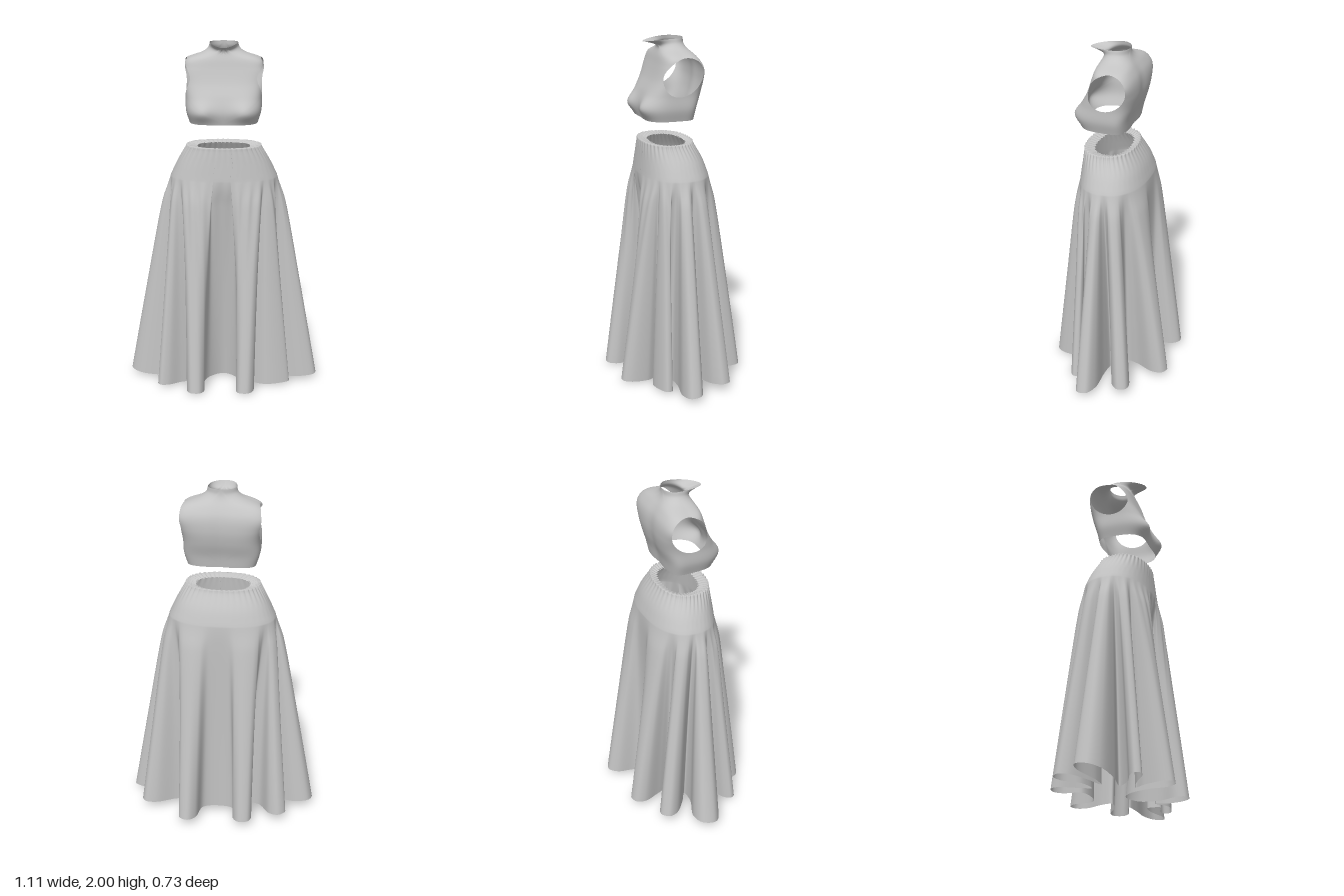
import * as THREE from 'three';
import { mergeGeometries, mergeVertices } from 'three/addons/utils/BufferGeometryUtils.js';

// Smooth interpolation through rows of [key, ...values]
function profile(rows) {
  const keys = new Float32Array(rows.map((r) => r[0]));
  const values = new Float32Array(rows.flatMap((r) => r.slice(1)));
  const interp = new THREE.CubicInterpolant(keys, values, rows[0].length - 1);
  return (k) => Array.from(interp.evaluate(k));
}

// Grid of points whose columns wrap round; rows[j][i] is a Vector3
function wrappedGrid(rows, flip = false) {
  const n = rows[0].length;
  const index = [];
  for (let j = 0; j < rows.length - 1; j++) {
    for (let i = 0; i < n; i++) {
      const i2 = (i + 1) % n;
      const a = j * n + i, b = (j + 1) * n + i, c = j * n + i2, d = (j + 1) * n + i2;
      if (flip) index.push(a, c, b, c, d, b);
      else index.push(a, b, c, c, b, d);
    }
  }
  const geo = new THREE.BufferGeometry().setFromPoints(rows.flat());
  geo.setIndex(index);
  return geo;
}

// ---- Sleeveless bodice ----
// height: half width, front z, back z, squareness
const torso = profile([
  [1.555, 0.195, 0.182, -0.093, 3.8],
  [1.62, 0.214, 0.196, -0.105, 3.8],
  [1.70, 0.217, 0.174, -0.13, 3.8],
  [1.78, 0.224, 0.135, -0.143, 4],
  [1.86, 0.226, 0.107, -0.135, 4],
  [1.91, 0.205, 0.093, -0.108, 3.3],
  [1.945, 0.12, 0.08, -0.082, 2.3],
  [1.97, 0.09, 0.076, -0.07, 2],
  [2.0, 0.08, 0.065, -0.067, 2],
]);

function torsoPoint(angle, y) {
  const [a, zf, zb, n] = torso(y);
  const s = Math.sin(angle), c = Math.cos(angle);
  const b = c > 0 ? zf : -zb;
  const r = Math.pow(Math.pow(Math.abs(s) / a, n) + Math.pow(Math.abs(c) / b, n), -1 / n);
  const p = new THREE.Vector3(r * s, y, r * c);
  if (c > 0) {
    // bust
    p.z += 0.036 * c * Math.exp(-(((p.x - 0.13) / 0.065) ** 2) - ((y - 1.625) / 0.055) ** 2);
    // collar front folded forward into a broad lip
    const t = Math.max(0, (y - 1.945) / 0.055);
    p.z += 0.1 * t ** 3 * c;
    p.y -= 0.017 * t * c ** 1.5;
  } else {
    // broad shoulder blades, with a shallow hollow along the spine
    p.x *= 1 - 0.34 * c * s * Math.exp(-(((y - 1.85) / 0.08) ** 2));
    p.z += 0.006 * Math.exp(-((p.x / 0.05) ** 2)) * Math.min(1, (2 - y) / 0.15);
  }
  return p;
}

// Half of the bodice: rings from the armhole out to the centre lines, neck and hem
function bodiceHalf(mirror) {
  const around = 128, rings = 28, rows = [];
  for (let j = 0; j <= rings; j++) {
    const t = j / rings, row = [];
    for (let i = 0; i < around; i++) {
      const phi = (i / around) * Math.PI * 2;
      const c = Math.cos(phi), s = Math.sin(phi);
      const m = Math.max(Math.abs(c), Math.abs(s));
      const outerAngle = Math.PI / 2 * (1 + c / m), outerY = 1.7775 + 0.2225 * s / m;
      const holeZ = -0.0025 - 0.112 * c - 0.012 * s, holeY = 1.802 + 0.107 * s + 0.01 * c;
      const [a, zf, zb, n] = torso(holeY);
      const k = Math.min(0.97, Math.abs(holeZ) / (holeZ > 0 ? zf : -zb));
      const holeAngle = Math.atan2(a * Math.pow(1 - k ** n, 1 / n), holeZ);
      const p = torsoPoint(
        THREE.MathUtils.lerp(holeAngle, outerAngle, t),
        THREE.MathUtils.lerp(holeY, outerY, t));
      if (mirror) p.x = -p.x;
      row.push(p);
    }
    rows.push(row);
  }
  return wrappedGrid(rows, mirror);
}

function bodiceGeometry() {
  const geo = mergeVertices(mergeGeometries([bodiceHalf(false), bodiceHalf(true)]), 1e-4);
  geo.computeVertexNormals();
  return geo;
}

// ---- Long skirt with deep folds ----
// Folds at the hem: tip x, tip z, root x, root z, half width, reach of the next valley
const FOLDS = [
  [0.12, 0.345, 0.14, 0.2, 0.05, 0.4],
  [0.385, 0.14, 0.24, 0.175, 0.032, 0.4],
  [0.545, 0.04, 0.31, 0.025, 0.058, 0.38],
  [0.46, -0.18, 0.28, -0.1, 0.052, 0.38],
  [0.19, -0.36, 0.13, -0.19, 0.053, 0.46],
  [-0.165, -0.345, -0.13, -0.19, 0.055, 0.38],
  [-0.385, -0.235, -0.27, -0.11, 0.055, 0.38],
  [-0.545, -0.025, -0.32, 0.025, 0.078, 0.38],
  [-0.375, 0.225, -0.26, 0.155, 0.033, 0.4],
  [-0.16, 0.355, -0.155, 0.2, 0.05, 0.4],
];

// Matching closed curves: the folded hem, and directions round the hips
function foldCurves() {
  const hem = [], hips = [];
  const angleOf = (f) => (Math.atan2(f[2], f[3]) + Math.PI * 2) % (Math.PI * 2);
  const add = (x, z, angle) => {
    hem.push(new THREE.Vector3(x, 0, z));
    hips.push(new THREE.Vector3(Math.sin(angle), 0, Math.cos(angle)));
  };
  FOLDS.forEach((f, i) => {
    const [tx, tz, rx, rz, w, reach] = f;
    const len = Math.hypot(tx - rx, tz - rz);
    const dx = (tx - rx) / len, dz = (tz - rz) / len;
    const last = i === FOLDS.length - 1;
    const next = FOLDS[(i + 1) % FOLDS.length];
    const prev = FOLDS[(i + FOLDS.length - 1) % FOLDS.length];
    const angle = angleOf(f);
    const nextGap = (angleOf(next) + (last ? Math.PI * 2 : 0) - angle) / 2;
    const prevGap = (angle - angleOf(prev) + (i === 0 ? Math.PI * 2 : 0)) / 2;
    // along the fold, across it, and share of the gap at the hips
    for (const [u, v, g] of [[0, -0.75, -0.75], [0.7, -1, -0.5], [1, -0.5, -0.2],
      [1, 0.5, 0.2], [0.7, 1, 0.5], [0, 0.75, 0.75]]) {
      add(rx + dx * len * u + dz * w * v, rz + dz * len * u - dx * w * v,
        angle + g * (g < 0 ? prevGap : nextGap));
    }
    if (last) {
      // wide hollow at the centre front
      add(-0.085, 0.08, -0.2 + Math.PI * 2);
      add(0, 0.03, 0);
      add(0.075, 0.08, 0.2);
    } else {
      add((rx + next[2]) * reach, (rz + next[3]) * reach, angle + nextGap);
    }
  });
  return [new THREE.CatmullRomCurve3(hem, true), new THREE.CatmullRomCurve3(hips, true)];
}

// step: height, half width, front z, back z, gather depth
const waist = profile([
  [0, 1.408, 0.158, 0.125, -0.07, 0.008],
  [1, 1.421, 0.205, 0.175, -0.104, 0.005],
  [2, 1.4, 0.221, 0.182, -0.115, 0.002],
  [3, 1.32, 0.268, 0.19, -0.16, 0],
  [4, 1.235, 0.308, 0.198, -0.19, 0],
]);

function skirtGeometry() {
  const [hem, hips] = foldCurves();
  const around = 580, upper = 16, lower = 44;
  const rows = Array.from({ length: upper + lower + 1 }, () => []);
  for (let i = 0; i < around; i++) {
    const h = hem.getPoint(i / around), d = hips.getPoint(i / around).normalize();
    const angle = Math.atan2(d.x, d.z);
    // slightly squared hips
    const square = Math.pow(Math.abs(d.x) ** 2.3 + Math.abs(d.z) ** 2.3, -1 / 2.3);
    const hemY = 0.08 * (h.x * h.x + h.z * h.z) + 0.03 * THREE.MathUtils.smoothstep(-h.z, -0.1, 0.15);
    const ring = (step) => {
      const [y, a, zf, zb, gather] = waist(step);
      const k = square * (1 + (gather / 0.18) * Math.sin(angle * 44));
      const mid = (zf + zb) / 2;
      return new THREE.Vector3(d.x * a * k, y, mid + d.z * (zf - mid) * k);
    };
    for (let j = 0; j <= upper; j++) rows[j].push(ring((j / upper) * 4));
    const top = ring(4);
    for (let j = 1; j <= lower; j++) {
      const t = (j / lower) ** 1.3;
      // the hip line keeps flaring while the folds grow in
      const flare = 1 + 0.6 * t * Math.exp(-6 * t);
      const f = Math.pow(t, 0.87) * THREE.MathUtils.smoothstep(t, -0.08, 0.12);
      // small pleats where the folds begin
      const pleat = 1 + 0.016 * Math.sin(angle * 30) * Math.max(0, d.z + 0.3)
        * Math.min(1, t / 0.08) * Math.max(0, 1 - t / 0.45);
      rows[upper + j].push(new THREE.Vector3(
        THREE.MathUtils.lerp(top.x * flare, h.x, f) * pleat,
        THREE.MathUtils.lerp(top.y, hemY, t),
        THREE.MathUtils.lerp(top.z * flare, h.z, f) * pleat));
    }
  }
  const geo = wrappedGrid(rows);
  geo.computeVertexNormals();
  return geo;
}

export function createModel() {
  const fabric = new THREE.MeshStandardMaterial({ color: 0xc4c4c4, side: THREE.DoubleSide });
  fabric.name = 'grey fabric';
  const group = new THREE.Group();
  group.name = 'two-piece dress';
  for (const [name, geo] of [['bodice', bodiceGeometry()], ['skirt', skirtGeometry()]]) {
    const mesh = new THREE.Mesh(geo, fabric);
    mesh.name = name;
    group.add(mesh);
  }
  return group;
}
